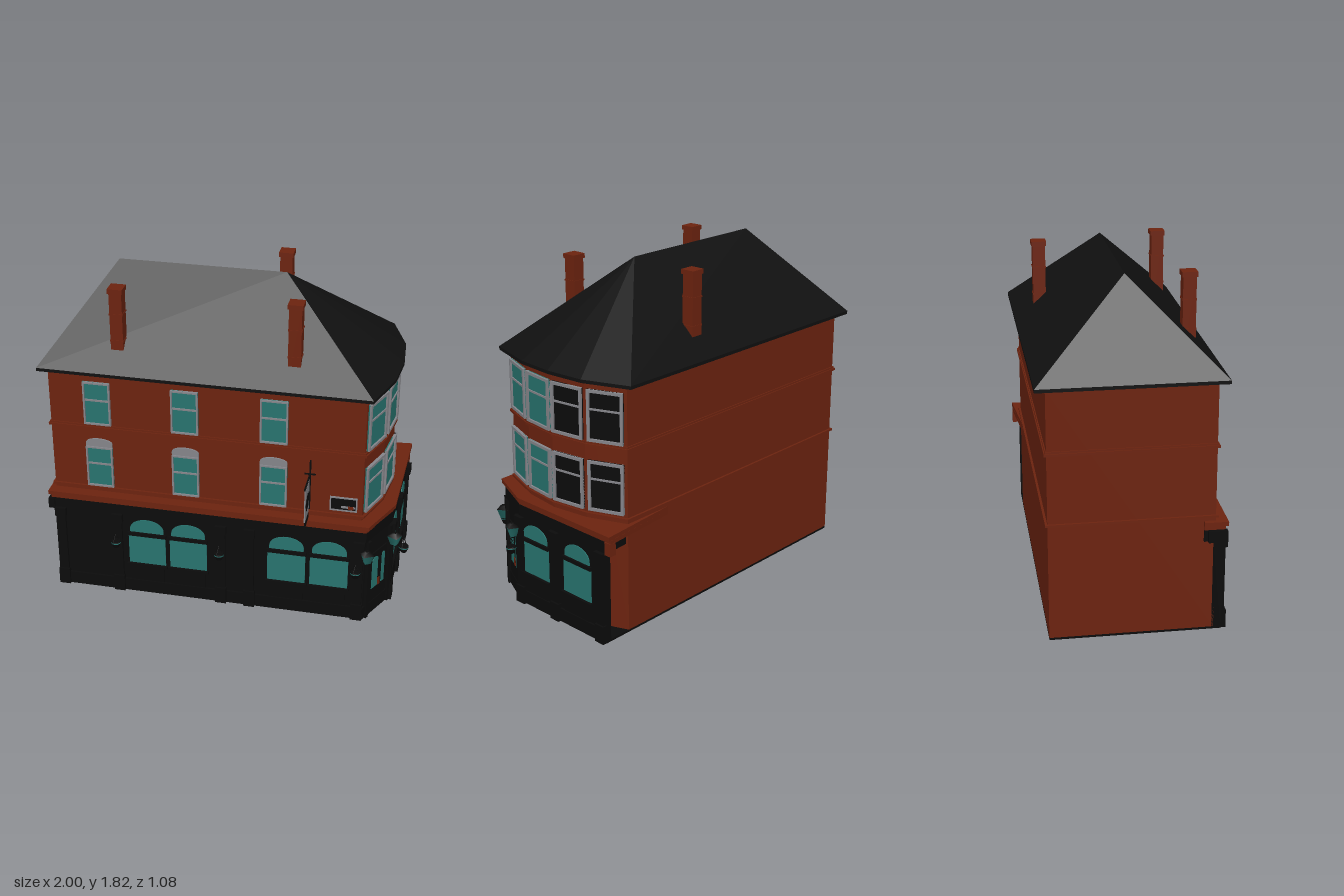
import * as THREE from 'three';

const mat = (name, color) => Object.assign(new THREE.MeshStandardMaterial({ color }), { name });
const M = {
  brick: mat('brick', 0x6c230f),
  slate: mat('slate', 0x101010),
  black: mat('black paint', 0x0b0b0b),
  glass: mat('teal glass', 0x28746f),
  grey: mat('grey trim', 0x85858a),
};

// Plans as [x, z], running front-left, front-right, round the bow, back-left
const BODY = [[-0.955, 0.36], [0.75, 0.36], [0.83, 0.15], [0.86, -0.06], [0.835, -0.27], [0.755, -0.485], [-0.955, -0.485]];
const EAVES = [[-1, 0.41], [0.785, 0.41], [0.87, 0.14], [0.89, -0.07], [0.875, -0.29], [0.785, -0.54], [-1, -0.54]];
const SHOP = [[-0.955, 0.4], [0.78, 0.4], [0.895, 0.17], [0.915, -0.485]];
const SHOP_INNER = [[0.885, -0.485], [0.865, 0.16], [0.75, 0.37], [-0.955, 0.35]];
const grow = (pts, d) => pts.map(([x, z]) => [x + Math.sign(x) * d, z + Math.sign(z + 0.06) * d]);

function add(parent, name, geo, material, x = 0, y = 0, z = 0) {
  const m = new THREE.Mesh(geo, material);
  m.name = name;
  m.position.set(x, y, z);
  parent.add(m);
  return m;
}
const box = (parent, name, w, h, d, material, x, y, z) =>
  add(parent, name, new THREE.BoxGeometry(w, h, d), material, x, y, z);

function prism(parent, name, pts, y0, y1, material) {
  const shape = new THREE.Shape(pts.map(([x, z]) => new THREE.Vector2(x, -z)));
  const geo = new THREE.ExtrudeGeometry(shape, { depth: y1 - y0, bevelEnabled: false });
  geo.rotateX(-Math.PI / 2);
  return add(parent, name, geo, material, 0, y0, 0);
}

// Plate with a flat foot and an elliptical arched head, foot at y = 0
function archPlate(parent, name, w, straight, rise, material, y, z, depth = 0.005, x = 0) {
  const s = new THREE.Shape();
  s.moveTo(-w / 2, 0);
  s.lineTo(w / 2, 0);
  s.lineTo(w / 2, straight);
  s.absellipse(0, straight, w / 2, rise, 0, Math.PI, false);
  s.lineTo(-w / 2, 0);
  const geo = new THREE.ExtrudeGeometry(s, { depth, bevelEnabled: false, curveSegments: 10 });
  return add(parent, name, geo, material, x, y, z);
}

// Group standing on a wall from p to q at fraction t, with local +z pointing outward
function onWall(root, name, p, q, t) {
  const g = new THREE.Group();
  g.name = name;
  g.position.set(p[0] + (q[0] - p[0]) * t, 0, p[1] + (q[1] - p[1]) * t);
  g.rotation.y = Math.atan2(-(q[1] - p[1]), q[0] - p[0]);
  root.add(g);
  return g;
}

function sashWindow(g, w, y0, y1, bar, pane, edge) {
  const h = y1 - y0, y = (y0 + y1) / 2;
  box(g, 'windowPane', w, h, 0.008, pane, 0, y, 0.003);
  for (const s of [-1, 1]) {
    box(g, 'windowJamb', edge, h, 0.022, M.grey, s * (w - edge) / 2, y, 0.006);
    box(g, 'windowRail', w, edge, 0.022, M.grey, 0, y + s * (h - edge) / 2, 0.006);
  }
  box(g, 'windowBar', w, 0.01, 0.016, M.grey, 0, bar, 0.005);
}

function shopWindow(g, w) {
  box(g, 'shopGlass', w, 0.18, 0.006, M.glass, 0, 0.28, 0.002);
  archPlate(g, 'shopFanlight', w - 0.02, 0.02, 0.062, M.glass, 0.395, 0, 0.005);
  box(g, 'shopSill', w + 0.02, 0.014, 0.03, M.black, 0, 0.183, 0.006);
  box(g, 'shopTransom', w + 0.01, 0.02, 0.02, M.black, 0, 0.382, 0.004);
  box(g, 'stallPanel', w - 0.02, 0.09, 0.014, M.black, 0, 0.125, 0.004);
}

function pilaster(g) {
  box(g, 'pilasterShaft', 0.05, 0.5, 0.024, M.black, 0, 0.25, 0.004);
  box(g, 'pilasterFoot', 0.062, 0.1, 0.036, M.black, 0, 0.05, 0.008);
  box(g, 'pilasterCapital', 0.062, 0.05, 0.036, M.black, 0, 0.48, 0.008);
}

function hangingBasket(root, x, z) {
  const g = new THREE.Group();
  g.name = 'hangingBasket';
  g.position.set(x, 0.345, z);
  root.add(g);
  add(g, 'basketBowl', new THREE.CylinderGeometry(0.028, 0.016, 0.03, 10), M.black, 0, -0.016, 0);
  add(g, 'basketRim', new THREE.CylinderGeometry(0.028, 0.028, 0.006, 10), M.glass, 0, 0, 0);
  add(g, 'basketSoil', new THREE.CylinderGeometry(0.026, 0.028, 0.006, 10), M.black, 0, 0.006, 0);
  for (let i = 0; i < 4; i++) {
    const a = i * Math.PI / 2 + 0.4;
    const rope = new THREE.LineCurve3(new THREE.Vector3(Math.cos(a) * 0.026, 0, Math.sin(a) * 0.026), new THREE.Vector3(0, 0.055, 0));
    add(g, 'basketChain', new THREE.TubeGeometry(rope, 1, 0.0018, 4), M.black);
  }
}

function lantern(root, x, z, turn) {
  const g = new THREE.Group();
  g.name = 'lantern';
  g.position.set(x, 0.41, z);
  g.rotation.y = turn;
  root.add(g);
  const four = (a, b, h) => new THREE.CylinderGeometry(a, b, h, 4).rotateY(Math.PI / 4).toNonIndexed();
  add(g, 'lanternGlass', four(0.042, 0.022, 0.055), M.glass);
  add(g, 'lanternCap', four(0.014, 0.044, 0.02), M.black, 0, 0.037, 0);
  add(g, 'lanternFoot', four(0.022, 0.008, 0.012), M.black, 0, -0.033, 0);
  box(g, 'lanternArm', 0.008, 0.008, 0.05, M.black, 0, -0.03, -0.025);
}

function chimney(root, x, z) {
  const g = new THREE.Group();
  g.name = 'chimney';
  g.position.set(x, 0, z);
  root.add(g);
  box(g, 'chimneyStack', 0.068, 0.43, 0.068, M.brick, 0, 1.575, 0);
  box(g, 'chimneyCap', 0.08, 0.025, 0.08, M.brick, 0, 1.79, 0);
  for (const y of [1.51, 1.66]) box(g, 'chimneyBand', 0.074, 0.008, 0.074, M.brick, 0, y, 0);
}

function roof(root) {
  const left = [-0.66, 1.82, -0.06], right = [0.25, 1.82, -0.06], v = [];
  const apex = (p) => (p[0] < 0 ? left : right);
  EAVES.forEach((a, i) => {
    const b = EAVES[(i + 1) % EAVES.length];
    const A = [a[0], 1.36, a[1]], B = [b[0], 1.36, b[1]];
    v.push(...A, ...B, ...apex(b));
    if (apex(a) !== apex(b)) v.push(...A, ...apex(b), ...apex(a));
  });
  const geo = new THREE.BufferGeometry();
  geo.setAttribute('position', new THREE.Float32BufferAttribute(v, 3));
  geo.computeVertexNormals();
  add(root, 'hippedRoof', geo, M.slate);
  prism(root, 'eaves', EAVES, 1.342, 1.36, M.slate);
}

export function createModel() {
  const root = new THREE.Group();
  root.name = 'cornerPub';

  // Brick body, floor and string courses
  prism(root, 'brickBody', BODY, 0.012, 1.345, M.brick);
  prism(root, 'floorSlab', [...SHOP, [-0.955, -0.485]], 0, 0.012, M.black);
  prism(root, 'upperCourse', grow(BODY, 0.012), 1.003, 1.016, M.brick);
  prism(root, 'upperCourseLip', grow(BODY, 0.006), 1.016, 1.026, M.brick);
  prism(root, 'lowerCourse', grow(BODY, 0.012), 0.63, 0.642, M.brick);
  roof(root);
  chimney(root, -0.58, 0.275);
  chimney(root, 0.36, 0.275);
  chimney(root, 0.19, -0.405);

  // Shopfront shell, plinth, fascia and cornice
  prism(root, 'shopWall', [...SHOP, ...SHOP_INNER], 0, 0.51, M.black);
  prism(root, 'shopPlinth', [[-0.9, 0.412], [0.785, 0.412], [0.905, 0.172], [0.925, -0.48], ...SHOP_INNER.slice(0, 3), [-0.9, 0.35]], 0, 0.075, M.black);
  prism(root, 'shopFascia', [[-0.965, 0.408], [0.785, 0.408], [0.9, 0.17], [0.92, -0.487], [0.7, -0.47], [0.7, 0.3], [-0.965, 0.3]], 0.5, 0.57, M.black);
  const cornice = (d) => [[-0.97 - d, 0.41 + d], [0.785 + d, 0.41 + d], [0.9 + d, 0.165], [0.92 + d, -0.525], [0.4, -0.48], [0.4, 0.3], [-0.97 - d, 0.3]];
  prism(root, 'corniceBed', cornice(0), 0.565, 0.588, M.brick);
  prism(root, 'corniceTop', cornice(0.012), 0.588, 0.61, M.brick);
  box(root, 'leftConsole', 0.035, 0.06, 0.1, M.black, -0.968, 0.53, 0.37);
  box(root, 'rightConsole', 0.04, 0.07, 0.04, M.brick, 0.905, 0.535, -0.505);

  // Front sash windows, the lower row with arched heads
  for (const x of [-0.69, -0.21, 0.27]) {
    const g = onWall(root, 'frontWindows', [x, 0.36], [x + 1, 0.36], 0);
    sashWindow(g, 0.148, 1.032, 1.285, 1.178, M.glass, 0.009);
    archPlate(g, 'archedHead', 0.148, 0.025, 0.028, M.grey, 0.89, 0, 0.009);
    sashWindow(g, 0.148, 0.648, 0.895, 0.79, M.glass, 0.009);
  }

  // Bowed end windows, one per facet and floor
  for (let i = 0; i < 4; i++) {
    const g = onWall(root, 'bowWindows', BODY[i + 1], BODY[i + 2], 0.5);
    const pane = i < 2 ? M.glass : M.black;
    sashWindow(g, 0.195, 1.03, 1.302, 1.2, pane, 0.015);
    sashWindow(g, 0.195, 0.657, 0.928, 0.83, pane, 0.015);
  }

  // Shop windows and pilasters
  for (const x of [-0.43, -0.195, 0.355, 0.59])
    shopWindow(onWall(root, 'frontShopWindow', [x, 0.4], [x + 1, 0.4], 0), 0.21);
  for (const x of [-0.92, -0.595, -0.01, 0.15, 0.75])
    pilaster(onWall(root, 'frontPilaster', [x, 0.4], [x + 1, 0.4], 0));
  for (const t of [0.185, 0.677])
    shopWindow(onWall(root, 'sideShopWindow', SHOP[2], SHOP[3], t), 0.205);
  for (const t of [0.01, 0.43, 0.95])
    pilaster(onWall(root, 'sidePilaster', SHOP[2], SHOP[3], t));

  // Corner entrance
  const door = onWall(root, 'cornerDoor', SHOP[1], SHOP[2], 0.5);
  box(door, 'doorLeaf', 0.17, 0.38, 0.008, M.black, 0, 0.2, 0.003);
  archPlate(door, 'doorGlass', 0.055, 0.18, 0.02, M.glass, 0.16, 0.004, 0.006, -0.03);
  archPlate(door, 'doorSideGlass', 0.028, 0.18, 0.014, M.glass, 0.16, 0.004, 0.006, 0.05);
  box(door, 'doorNotice', 0.02, 0.045, 0.006, M.brick, 0.012, 0.18, 0.008);
  for (const s of [-1, 1]) box(door, 'doorPost', 0.022, 0.5, 0.025, M.black, s * 0.105, 0.25, 0.008);

  // Lanterns and hanging baskets
  lantern(root, 0.795, 0.415, 0.5);
  lantern(root, 0.92, 0.205, 1.1);
  for (const [x, z] of [[-0.595, 0.452], [-0.01, 0.452], [0.742, 0.467], [0.97, 0.165]]) hangingBasket(root, x, z);

  // Hanging sign
  const sign = new THREE.Group();
  sign.name = 'hangingSign';
  sign.position.set(0.467, 0, 0);
  root.add(sign);
  box(sign, 'signArm', 0.008, 0.008, 0.19, M.black, 0, 0.87, 0.445);
  box(sign, 'signCross', 0.06, 0.006, 0.008, M.black, 0, 0.87, 0.37);
  box(sign, 'signStay', 0.008, 0.3, 0.008, M.black, 0, 0.8, 0.364);
  box(sign, 'signBoard', 0.006, 0.195, 0.125, M.grey, 0, 0.76, 0.463);
  box(sign, 'signLowerBoard', 0.006, 0.035, 0.11, M.black, 0, 0.638, 0.463);
  add(sign, 'signEmblem', new THREE.CylinderGeometry(0.052, 0.052, 0.01, 6).rotateZ(Math.PI / 2), M.black, 0, 0.757, 0.463);
  for (const z of [0.41, 0.516]) box(sign, 'signHanger', 0.004, 0.03, 0.004, M.black, 0, 0.862, z);

  // Wall plaque
  box(root, 'plaqueBoard', 0.148, 0.085, 0.008, M.grey, 0.65, 0.702, 0.363);
  box(root, 'plaquePanel', 0.132, 0.065, 0.006, M.black, 0.65, 0.704, 0.366);
  box(root, 'plaqueStripe', 0.075, 0.014, 0.004, M.grey, 0.675, 0.688, 0.368);
  box(root, 'plaqueSpot', 0.03, 0.02, 0.004, M.brick, 0.69, 0.685, 0.369);
  return root;
}
